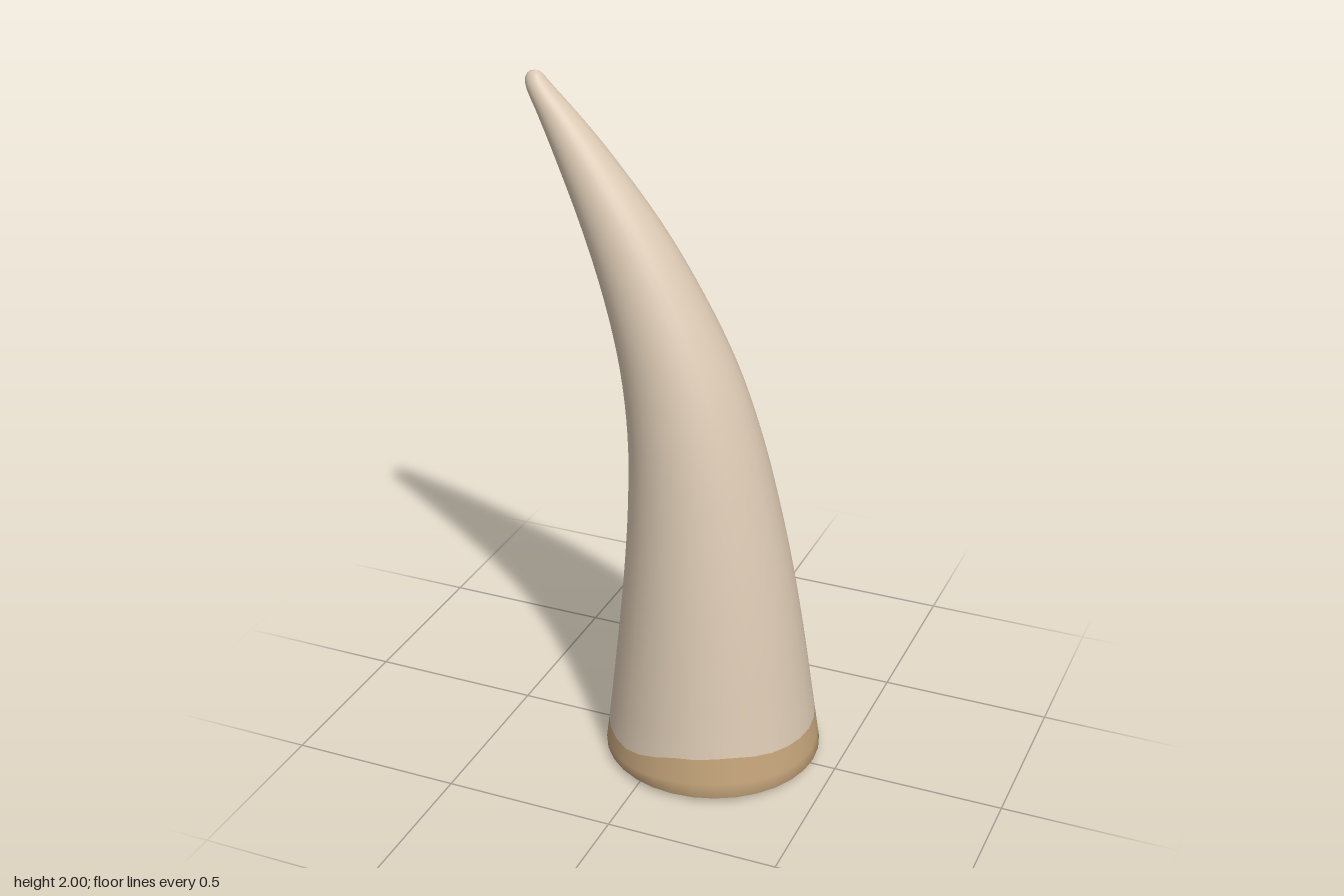
import * as THREE from 'three';

const SIDES = 32;

// Horizontal sections of the horn: height, left edge, right edge, half depth
const SECTIONS = [
  [0.015, -0.2, 0.432, 0.316], [0.2, -0.18, 0.405, 0.291], [0.4, -0.16, 0.375, 0.266],
  [0.6, -0.143, 0.34, 0.24], [0.8, -0.133, 0.297, 0.213], [1.0, -0.135, 0.245, 0.187],
  [1.2, -0.16, 0.175, 0.159], [1.4, -0.21, 0.075, 0.13], [1.6, -0.28, -0.05, 0.099],
  [1.8, -0.364, -0.21, 0.065], [1.9, -0.41, -0.303, 0.045], [1.95, -0.434, -0.354, 0.035],
  [1.98, -0.438, -0.382, 0.025], [1.995, -0.427, -0.397, 0.013], [2.0, -0.412, -0.41, 0.001],
];

// Uneven top edge of the base band, every 30 degrees starting at +x
const BAND_EDGE = [0.12, 0.125, 0.14, 0.127, 0.085, 0.085, 0.08, 0.095, 0.11, 0.122, 0.14, 0.122];

// Smoothly interpolated section at height y
function sectionAt(y) {
  let i = 0;
  while (i < SECTIONS.length - 2 && SECTIONS[i + 1][0] < y) i++;
  const at = (k) => SECTIONS[THREE.MathUtils.clamp(k, 0, SECTIONS.length - 1)];
  const a = at(i), b = at(i + 1), h = b[0] - a[0];
  const t = THREE.MathUtils.clamp((y - a[0]) / h, 0, 1);
  const slope = (k, c) => (at(k + 1)[c] - at(k - 1)[c]) / (at(k + 1)[0] - at(k - 1)[0]);
  const value = (c) => {
    const t2 = t * t, t3 = t2 * t;
    return (2 * t3 - 3 * t2 + 1) * a[c] + (t3 - 2 * t2 + t) * h * slope(i, c)
      + (3 * t2 - 2 * t3) * b[c] + (t3 - t2) * h * slope(i + 1, c);
  };
  const left = value(1), right = value(2);
  return { x: (left + right) / 2, rx: (right - left) / 2, rz: value(3) };
}

function bandHeight(j) {
  const u = (j / SIDES) * 12, k = Math.floor(u);
  return THREE.MathUtils.lerp(BAND_EDGE[k % 12], BAND_EDGE[(k + 1) % 12], u - k);
}

export function createModel() {
  const horn = new THREE.MeshStandardMaterial({ color: 0xdac8b2 });
  horn.name = 'horn cream';
  const band = new THREE.MeshStandardMaterial({ color: 0xc4a47a });
  band.name = 'base tan';

  const positions = [], index = [];
  let rows = 0;
  const addRow = (heightOf, scale = 1, lift = null) => {
    for (let j = 0; j < SIDES; j++) {
      const y = heightOf(j), s = sectionAt(y), angle = (j / SIDES) * Math.PI * 2;
      positions.push(s.x + Math.cos(angle) * s.rx * scale, lift ?? y, Math.sin(angle) * s.rz * scale);
    }
    rows++;
  };

  // Underside with a softened rim
  const bottom = SECTIONS[0][0];
  addRow(() => bottom, 0, 0);
  addRow(() => bottom, 0.8, 0.001);
  addRow(() => bottom, 0.94, 0.004);
  addRow(() => bottom);
  const capRows = rows - 1;

  // Base band, ending at its uneven edge
  for (const t of [0.35, 0.7, 1]) addRow((j) => THREE.MathUtils.lerp(bottom, bandHeight(j), t));
  const bandRows = rows - 1;

  // Tapering body and rounded tip
  for (let y = 0.2; y < 1.89; y += 0.05) addRow(() => y);
  for (const y of [1.9, 1.925, 1.95, 1.965, 1.98, 1.99, 1.995, 2]) addRow(() => y);

  for (let i = 0; i < rows - 1; i++) {
    for (let j = 0; j < SIDES; j++) {
      const a = i * SIDES + j, b = i * SIDES + ((j + 1) % SIDES);
      index.push(a, a + SIDES, b, b, a + SIDES, b + SIDES);
    }
  }
  // Closed tip
  const top = positions.length / 3, ring = top - SIDES;
  positions.push(-0.411, 2, 0);
  for (let j = 0; j < SIDES; j++) index.push(ring + j, top, ring + ((j + 1) % SIDES));

  const geometry = new THREE.BufferGeometry();
  geometry.setAttribute('position', new THREE.Float32BufferAttribute(positions, 3));
  geometry.setIndex(index);
  geometry.computeVertexNormals();

  // Cream underside, tan band, cream body
  const perRow = SIDES * 6;
  geometry.addGroup(0, capRows * perRow, 0);
  geometry.addGroup(capRows * perRow, (bandRows - capRows) * perRow, 1);
  geometry.addGroup(bandRows * perRow, index.length - bandRows * perRow, 0);

  const mesh = new THREE.Mesh(geometry, [horn, band]);
  mesh.name = 'curvedHorn';
  const group = new THREE.Group();
  group.name = 'horn';
  group.add(mesh);
  return group;
}
